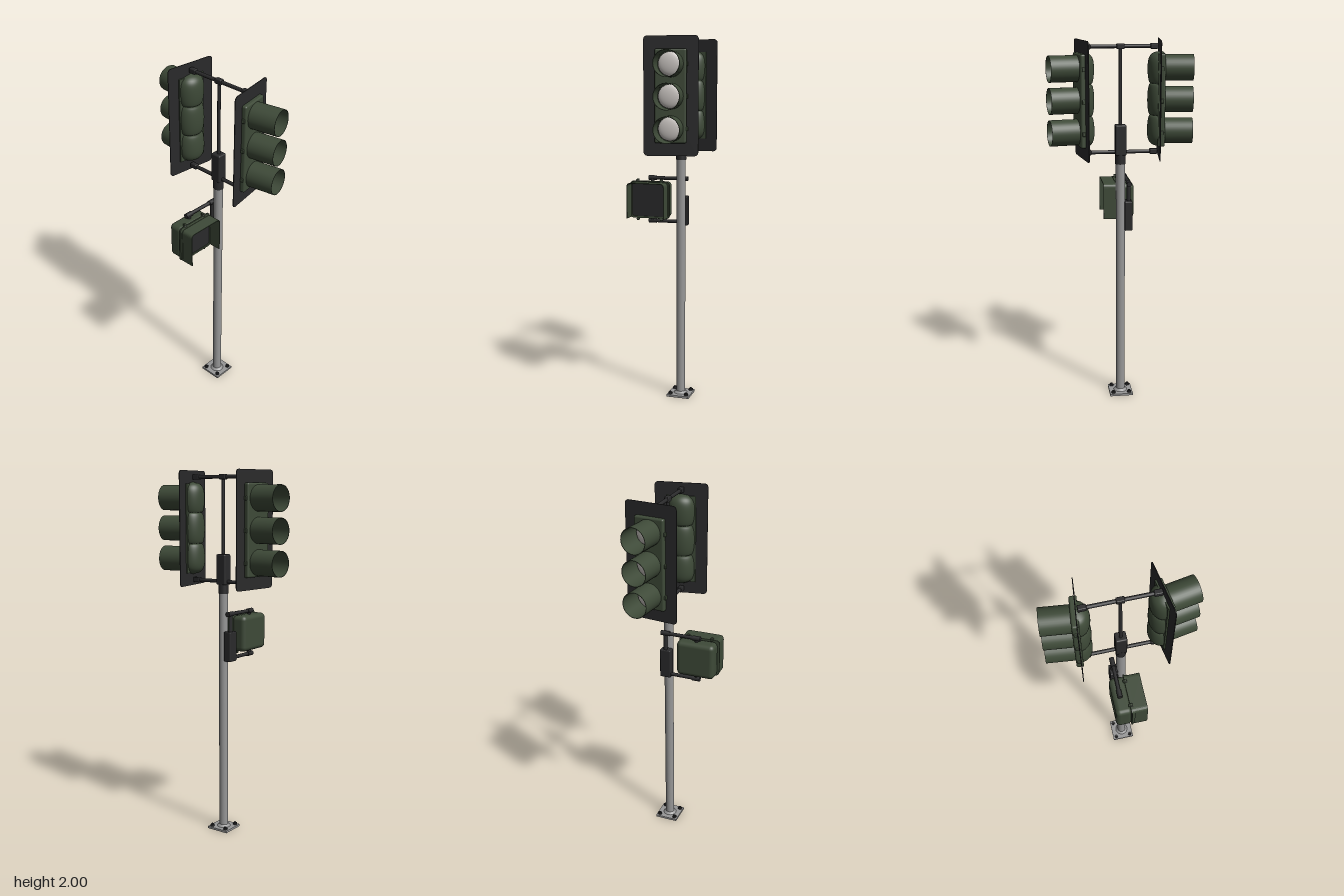
import * as THREE from 'three';
import { RoundedBoxGeometry } from 'three/addons/geometries/RoundedBoxGeometry.js';
import { ParametricGeometry } from 'three/addons/geometries/ParametricGeometry.js';

const material = (name, color, side = THREE.FrontSide) => {
  const m = new THREE.MeshStandardMaterial({ color, side });
  m.name = name;
  return m;
};

export function createModel() {
  const green = material('dark green paint', 0x3e4a38, THREE.DoubleSide);
  const black = material('black metal', 0x2a2a2b);
  const steel = material('galvanised steel', 0x979797);
  const glass = material('pale lens', 0xc9c4c0);
  const model = new THREE.Group();
  model.name = 'trafficSignal';
  const PX = 0.075; // pole position along x

  const add = (parent, name, geo, mat, x = 0, y = 0, z = 0) => {
    const m = new THREE.Mesh(geo, mat);
    m.name = name;
    m.position.set(x, y, z);
    parent.add(m);
    return m;
  };
  const box = (p, n, mat, w, h, d, x, y, z) => add(p, n, new THREE.BoxGeometry(w, h, d), mat, x, y, z);
  const rounded = (p, n, mat, w, h, d, r, x, y, z) =>
    add(p, n, new RoundedBoxGeometry(w, h, d, 3, r), mat, x, y, z);
  // Straight round bar between two points
  const bar = (p, n, mat, a, b, r, sides = 16) => {
    const from = new THREE.Vector3(...a), to = new THREE.Vector3(...b);
    const m = add(p, n, new THREE.CylinderGeometry(r, r, from.distanceTo(to), sides), mat);
    m.position.copy(from).lerp(to, 0.5);
    m.quaternion.setFromUnitVectors(new THREE.Vector3(0, 1, 0), to.sub(from).normalize());
    return m;
  };
  const roundedRect = (w, h, r) => {
    const s = new THREE.Shape();
    const x = w / 2, y = h / 2;
    s.moveTo(-x + r, -y);
    s.lineTo(x - r, -y).absarc(x - r, -y + r, r, -Math.PI / 2, 0);
    s.lineTo(x, y - r).absarc(x - r, y - r, r, 0, Math.PI / 2);
    s.lineTo(-x + r, y).absarc(-x + r, y - r, r, Math.PI / 2, Math.PI);
    s.lineTo(-x, -y + r).absarc(-x + r, -y + r, r, Math.PI, Math.PI * 1.5);
    return s;
  };
  const slab = (shape, depth) =>
    new THREE.ExtrudeGeometry(shape, { depth, bevelEnabled: false, curveSegments: 6 });

  // Base plate, anchor bolts and pole
  box(model, 'basePlate', steel, 0.13, 0.012, 0.13, PX, 0.006, 0);
  for (const sx of [-1, 1]) for (const sz of [-1, 1]) {
    const x = PX + sx * 0.047, z = sz * 0.046;
    bar(model, 'anchorNut', black, [x, 0.012, z], [x, 0.022, z], 0.012, 6);
    bar(model, 'anchorBolt', black, [x, 0.012, z], [x, 0.028, z], 0.006, 10);
  }
  add(model, 'poleWeld', new THREE.CylinderGeometry(0.025, 0.038, 0.012, 32), steel, PX, 0.018, 0);
  bar(model, 'pole', steel, [PX, 0.012, 0], [PX, 1.36, 0], 0.025, 32);

  // Pole top, upright and the two cross bars that carry the heads
  bar(model, 'poleCap', black, [PX, 1.345, 0], [PX, 1.41, 0], 0.028, 24);
  rounded(model, 'uprightSocket', black, 0.055, 0.165, 0.06, 0.008, PX, 1.475, 0);
  bar(model, 'upright', black, [PX, 1.5, 0], [PX, 1.965, 0], 0.009);
  for (const y of [1.41, 1.965]) {
    bar(model, 'crossBar', black, [PX, y, -0.19], [PX, y, 0.19], 0.01);
    for (const z of [-0.178, 0, 0.178])
      rounded(model, 'barFitting', black, 0.027, 0.028, 0.042, 0.005, PX, y, z);
  }

  // One three-lamp head, local +z is the facing direction
  const signalHead = (name, z, yaw) => {
    const head = new THREE.Group();
    head.name = name;
    head.position.set(0.081, 1.69, z);
    head.rotation.y = yaw;
    model.add(head);
    add(head, 'backPlate', slab(roundedRect(0.289, 0.62, 0.02), 0.004), black, 0, 0, -0.002);
    rounded(head, 'doorFrame', green, 0.167, 0.485, 0.03, 0.01, 0, 0, 0.012);
    box(head, 'rearFlange', green, 0.16, 0.48, 0.008, 0, 0, -0.006);

    // Rear housing with three swelling lobes
    const housing = new ParametricGeometry((u, v, out) => {
      const a = Math.PI * u, y = (v - 0.5) * 0.5;
      const t = ((v * 3) % 1) * 2 - 1;
      const lobe = 0.76 + 0.24 * Math.sqrt(Math.max(0, 1 - t * t));
      const cap = Math.pow(Math.max(0, 1 - Math.pow(Math.abs(2 * v - 1), 14)), 0.5);
      out.set(0.075 * lobe * cap * Math.cos(a), y, -0.064 * lobe * cap * Math.sin(a));
    }, 24, 72);
    add(head, 'rearHousing', housing, green);

    for (const y of [-0.167, 0, 0.165]) {
      const visor = new THREE.CylinderGeometry(0.0685, 0.0685, 0.155, 40, 1, true).rotateX(Math.PI / 2);
      add(head, 'visor', visor, green, 0, y, 0.0985);
      const liner = new THREE.CylinderGeometry(0.066, 0.066, 0.155, 40, 1, true).rotateX(Math.PI / 2);
      add(head, 'visorLiner', liner, green, 0, y, 0.0985);
      add(head, 'visorRim', new THREE.RingGeometry(0.066, 0.0685, 40), green, 0, y, 0.176);
      // Shallow domed lens
      const lens = new THREE.SphereGeometry(0.062, 32, 8, 0, Math.PI * 2, 0, Math.PI / 2).rotateX(Math.PI / 2);
      add(head, 'lens', lens, glass, 0, y, 0.035).scale.z = 0.3;
      for (const sx of [-1, 1])
        rounded(head, 'doorLatch', green, 0.014, 0.022, 0.016, 0.003, sx * 0.084, y, 0.012);
    }
  };
  signalHead('frontSignalHead', 0.204, 0.169);
  signalHead('backSignalHead', -0.207, Math.PI - 0.112);

  // Pedestrian signal box beside the pole
  const ped = new THREE.Group();
  ped.name = 'pedestrianSignal';
  ped.position.set(-0.108, 1.115, 0);
  model.add(ped);
  rounded(ped, 'pedHousing', green, 0.215, 0.2, 0.087, 0.025, 0, 0, -0.0435);
  add(ped, 'pedFlange', slab(roundedRect(0.232, 0.21, 0.022), 0.006), green, 0, 0, -0.006);
  const frame = roundedRect(0.222, 0.205, 0.022);
  frame.holes.push(roundedRect(0.202, 0.185, 0.014));
  add(ped, 'pedFrame', slab(frame, 0.014), green);
  add(ped, 'pedFace', slab(roundedRect(0.204, 0.187, 0.014), 0.006), black, 0, 0, 0.002);

  // Hood over the top and both sides, open underneath
  const hood = new THREE.Shape();
  const outline = (w, h, r) => [[-w, -0.098], [-w, h - r], [-w + r, h], [w - r, h], [w, h - r], [w, -0.098], r];
  const arch = (w, h, r, reverse) => {
    const s = reverse ? -1 : 1;
    if (!reverse) hood.moveTo(-w, -0.098); else hood.lineTo(w, -0.098);
    hood.lineTo(-s * w, h - r);
    hood.quadraticCurveTo(-s * w, h, -s * (w - r), h);
    hood.lineTo(s * (w - r), h);
    hood.quadraticCurveTo(s * w, h, s * w, h - r);
    hood.lineTo(s * w, -0.098);
  };
  arch(0.108, 0.1, 0.022, false);
  arch(0.104, 0.096, 0.018, true);
  add(ped, 'pedHood', slab(hood, 0.083), green);

  // Hinges and latches on the box
  for (const x of [-0.07, 0.068]) for (const sy of [-1, 1]) {
    rounded(ped, 'pedHinge', green, 0.012, 0.018, 0.022, 0.003, x, sy * 0.108, -0.004);
    bar(ped, 'hingePin', steel, [x - 0.009, sy * 0.109, 0.004], [x + 0.009, sy * 0.109, 0.004], 0.003, 8);
  }

  // Mounting bracket behind the pole and the two arms
  const AZ = -0.046;
  rounded(model, 'bracketBox', black, 0.062, 0.165, 0.044, 0.006, PX - 0.003, 1.057, AZ + 0.003);
  bar(model, 'bracketRiser', black, [PX, 1.13, AZ], [PX, 1.235, AZ], 0.011);
  for (const [y, sy] of [[1.235, 1], [0.992, -1]]) {
    bar(model, 'arm', black, [-0.12, y, AZ - 0.002], [0.095, y, AZ], 0.01);
    bar(model, 'armEnd', black, [-0.128, y, AZ - 0.002], [-0.084, y, AZ - 0.002], 0.0135);
    bar(model, 'armElbow', black, [0.05, y, AZ], [0.1, y, AZ], 0.0135);
    bar(model, 'armStem', black, [-0.106, y, AZ], [-0.106, y - sy * 0.035, AZ], 0.011);
  }
  return model;
}
